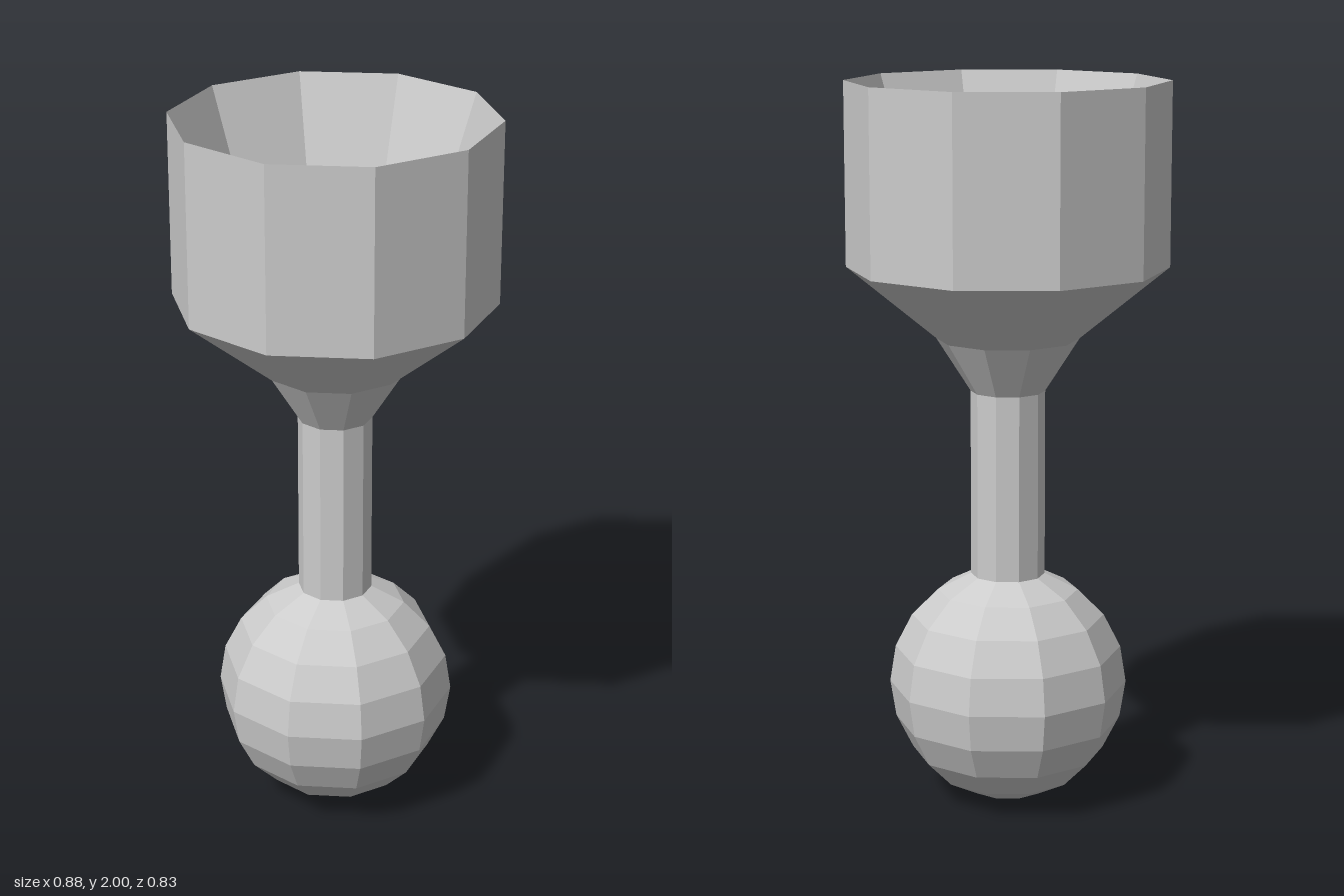
import * as THREE from 'three';

const SIDES = 10;

export function createModel() {
  const group = new THREE.Group();
  const material = new THREE.MeshStandardMaterial({ color: 0xcccccc, flatShading: true });

  const add = (name, geometry, y = 0) => {
    const mesh = new THREE.Mesh(geometry, material);
    mesh.name = name;
    mesh.position.y = y;
    group.add(mesh);
  };
  // Ten-sided turned shape with a corner on the x axis
  const turned = (profile) => new THREE.LatheGeometry(
    profile.map(([r, y]) => new THREE.Vector2(r, y)), SIDES, Math.PI / 2, Math.PI * 2);

  // Faceted ball at the foot
  add('ball', new THREE.SphereGeometry(0.33, SIDES, 10), 0.33);

  // Slim stem rising from the ball
  add('stem', turned([[0.102, 0.64], [0.102, 1.16]]));

  // Cup: flared underside, straight wall, knife-edge rim, tapering hollow, slightly raised floor
  add('cup', turned([
    [0.102, 1.16], [0.195, 1.305], [0.438, 1.5], [0.438, 2],
    [0.195, 1.305], [0, 1.34],
  ]));

  return group;
}
